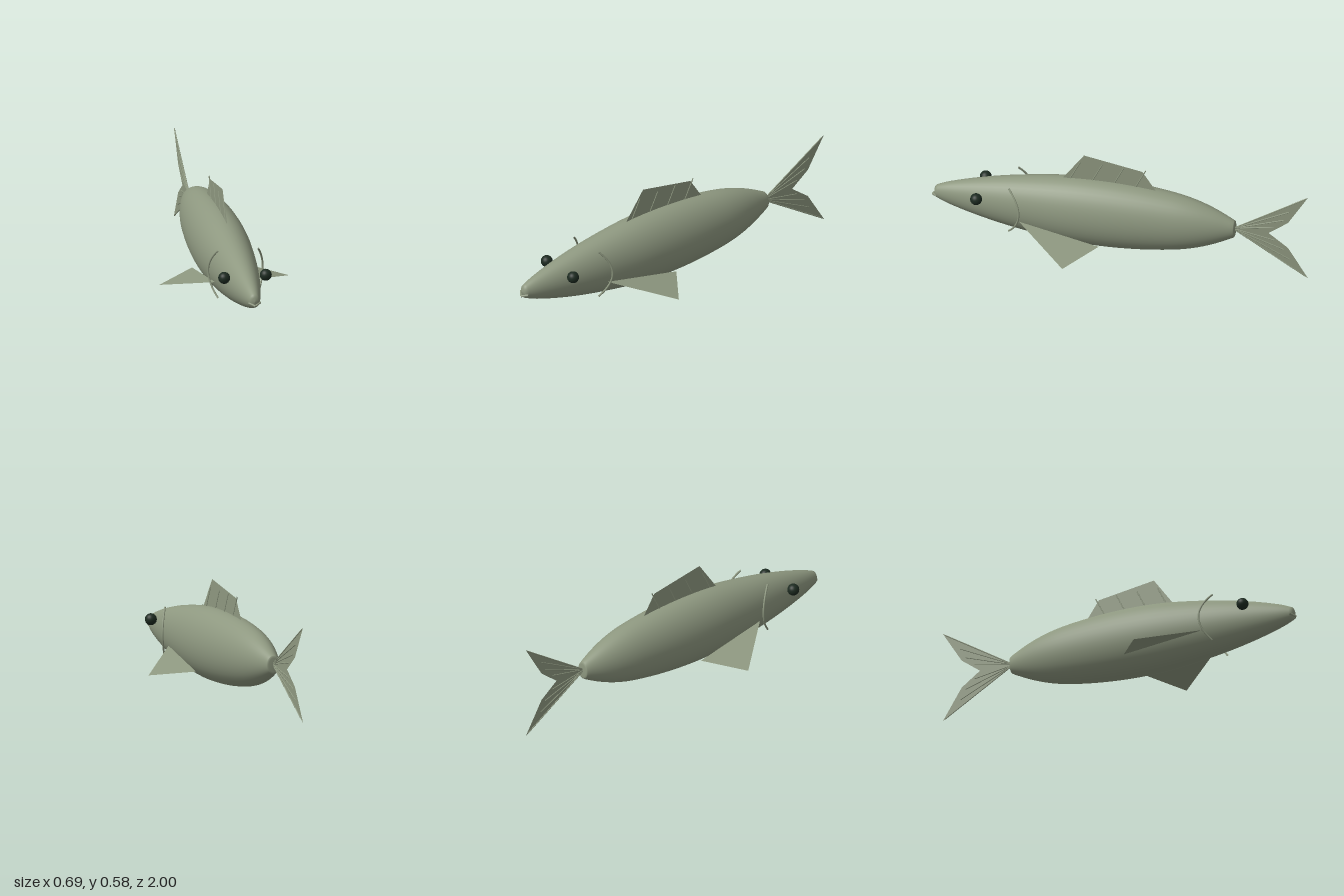
import * as THREE from 'three';

export function createModel() {
  const model = new THREE.Group();
  const skin = new THREE.MeshStandardMaterial({ color: 0x8e9880 });
  skin.name = 'skin';
  const finSkin = new THREE.MeshStandardMaterial({ color: 0x8e9880, side: THREE.DoubleSide });
  finSkin.name = 'finSkin';
  const eyeDark = new THREE.MeshStandardMaterial({ color: 0x1c2a20 });
  eyeDark.name = 'eyeDark';

  const V = (x, y, z) => new THREE.Vector3(x, y, z);
  const add = (name, geometry, material, parent = model) => {
    const mesh = new THREE.Mesh(geometry, material);
    mesh.name = name;
    parent.add(mesh);
    return mesh;
  };
  // thin straight rod between two points
  const rod = (name, a, b, r) =>
    add(name, new THREE.TubeGeometry(new THREE.LineCurve3(a, b), 1, r, 8), skin);
  // flat upright fin in the plane x = 0, outlined by [z, y] points
  const uprightFin = (name, outline) => {
    const shape = new THREE.Shape(outline.map(([z, y]) => new THREE.Vector2(-z, y)));
    add(name, new THREE.ShapeGeometry(shape).rotateY(Math.PI / 2), finSkin);
  };

  // body: turned profile (radius, z), narrowed sideways
  const side = new THREE.SplineCurve([
    [0.046, -0.61], [0.06, -0.585], [0.1, -0.5], [0.135, -0.4], [0.161, -0.28],
    [0.182, -0.1], [0.19, 0.1], [0.181, 0.3], [0.147, 0.55], [0.107, 0.745],
    [0.064, 0.9], [0.035, 0.973],
  ].map(([r, z]) => new THREE.Vector2(r, z)));
  const profile = [
    new THREE.Vector2(0, -0.613), new THREE.Vector2(0.036, -0.613),
    ...side.getPoints(44),
    new THREE.Vector2(0.022, 0.981), new THREE.Vector2(0, 0.984),
  ];
  const body = new THREE.LatheGeometry(profile, 40);
  body.rotateX(Math.PI / 2).scale(0.74, 1, 1).translate(0, 0.251, 0);
  add('body', body, skin);

  // dorsal fin with slanted rays
  uprightFin('dorsalFin', [[0.31, 0.42], [0.19, 0.585], [-0.12, 0.53], [-0.2, 0.41]]);
  for (let i = 0; i < 4; i++) {
    const z = 0.265 - i * 0.116;
    rod('dorsalRay', V(0, 0.43, z), V(0, 0.54, z - 0.055), 0.003);
  }

  // forked tail fin with fanned rays
  uprightFin('tailFin', [
    [-0.6, 0.253], [-1, 0.503], [-0.893, 0.33], [-0.79, 0.253], [-0.893, 0.176], [-1, 0.003],
  ]);
  for (const s of [1, -1]) {
    for (const [z, h] of [[-0.985, 0.238], [-0.9, 0.145], [-0.87, 0.09], [-0.82, 0.04]]) {
      rod('tailRay', V(0, 0.253, -0.6), V(0, 0.253 + s * h, z), 0.003);
    }
  }

  // paired parts
  for (const s of [1, -1]) {
    const pectoral = new THREE.BufferGeometry().setFromPoints(
      [V(s * 0.108, 0.197, 0.51), V(s * 0.343, 0.097, 0.225), V(s * 0.138, 0.125, 0.08)]);
    pectoral.setIndex(s > 0 ? [0, 1, 2] : [0, 2, 1]);
    pectoral.computeVertexNormals();
    add('pectoralFin', pectoral, finSkin);

    add('eye', new THREE.SphereGeometry(0.031, 24, 16), eyeDark).position.set(s * 0.11, 0.303, 0.737);

    const gill = new THREE.QuadraticBezierCurve3(
      V(s * 0.105, 0.39, 0.565), V(s * 0.183, 0.26, 0.442), V(s * 0.105, 0.13, 0.565));
    add('gillEdge', new THREE.TubeGeometry(gill, 24, 0.005, 8), skin);

    // half of the mouth
    rod('lip', V(s * 0.031, 0.241, 0.968), V(0, 0.23, 0.992), 0.006);
  }

  return model;
}
